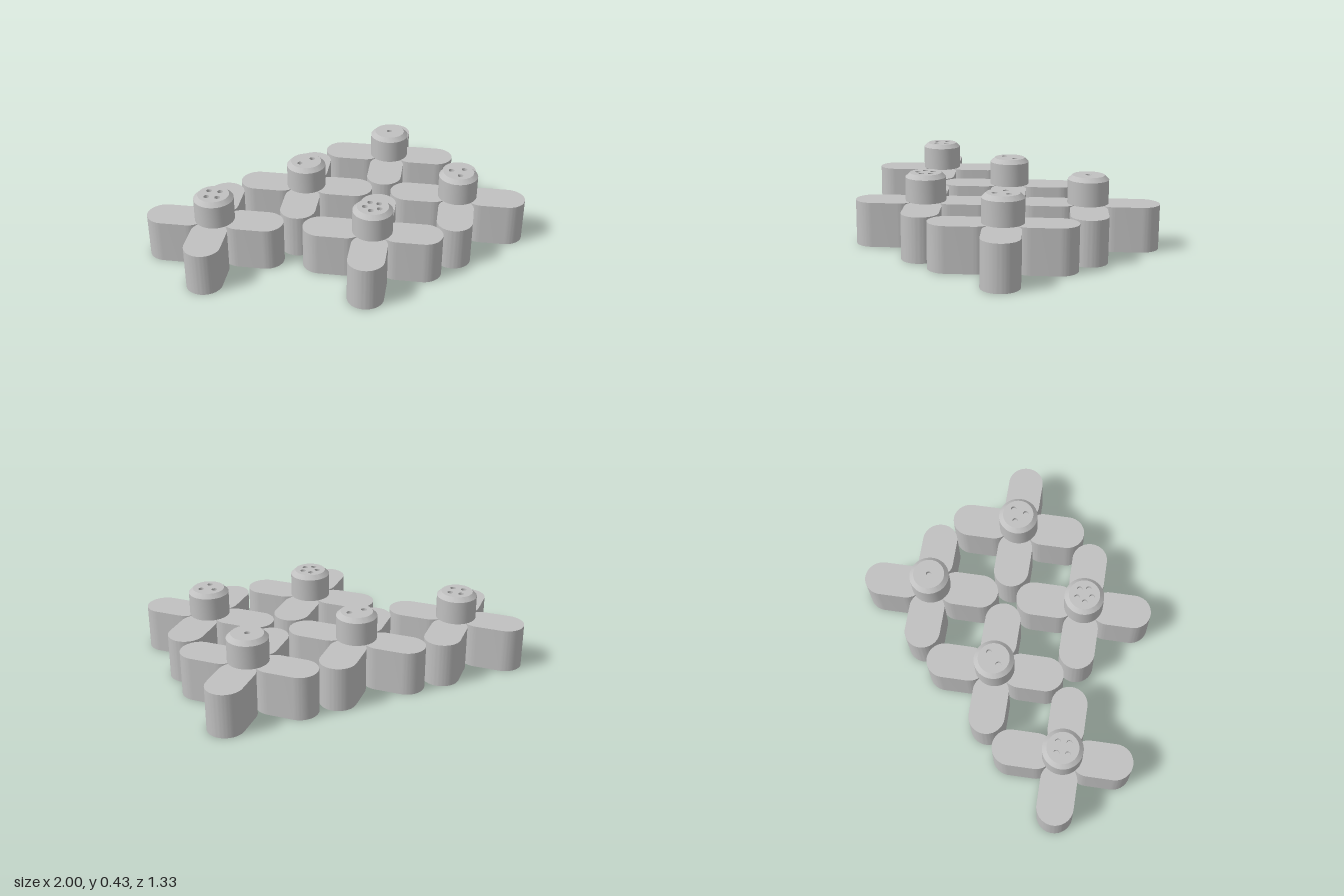
import * as THREE from 'three';
import { toCreasedNormals } from 'three/addons/utils/BufferGeometryUtils.js';

const PETAL_H = 0.267, PETAL_R = 0.108, PETAL_IN = 0.11, PETAL_OUT = 0.219;
const KNOB_R = 0.12, KNOB_TOP_R = 0.094, SHOULDER = 0.408, TOP = 0.433;
const PIT_R = 0.017, PIT_RING = 0.047, PIT_DEPTH = 0.02;
const CREASE = 0.5;

const lathe = (pts, segments) => toCreasedNormals(
  new THREE.LatheGeometry(pts.map(([r, y]) => new THREE.Vector2(r, y)), segments), CREASE);

// Capsule outline running out along +x from the token's centre
function petalGeometry() {
  const a = PETAL_IN * Math.SQRT2, b = PETAL_OUT * Math.SQRT2;
  const shape = new THREE.Shape();
  shape.absarc(b, 0, PETAL_R, -Math.PI / 2, Math.PI / 2, false);
  shape.absarc(a, 0, PETAL_R, Math.PI / 2, Math.PI * 1.5, false);
  shape.closePath();
  const geo = new THREE.ExtrudeGeometry(shape, { depth: PETAL_H, bevelEnabled: false, curveSegments: 24 });
  geo.rotateX(-Math.PI / 2);
  return toCreasedNormals(geo, CREASE);
}

// Pit centres: one in the middle, or several evenly round a ring
function pitCentres(count) {
  if (count === 1) return [[0, 0]];
  return Array.from({ length: count }, (_, i) => {
    const t = (i / count) * Math.PI * 2;
    return [Math.cos(t) * PIT_RING, Math.sin(t) * PIT_RING];
  });
}

export function createModel() {
  const model = new THREE.Group();
  model.name = 'countingTokens';
  const grey = new THREE.MeshStandardMaterial({ color: 0xc0c0c0 });
  grey.name = 'plain grey';

  const petalGeo = petalGeometry();
  const coreGeo = new THREE.CylinderGeometry(0.065, 0.065, PETAL_H, 32);
  const knobGeo = lathe([[0, PETAL_H], [KNOB_R, PETAL_H], [KNOB_R, SHOULDER], [KNOB_TOP_R, TOP]], 64);
  const pitGeo = lathe([[PIT_R, TOP], [PIT_R, TOP - PIT_DEPTH], [0, TOP - PIT_DEPTH]], 24);

  const add = (parent, geo, name) => {
    const mesh = new THREE.Mesh(geo, grey);
    mesh.name = name;
    parent.add(mesh);
    return mesh;
  };

  function token(count, x, z) {
    const group = new THREE.Group();
    group.name = 'token' + count;
    group.position.set(x, 0, z);

    // Four diagonal petals joined by a small core
    for (let i = 0; i < 4; i++) {
      add(group, petalGeo, 'petal').rotation.y = Math.PI / 4 + i * Math.PI / 2;
    }
    add(group, coreGeo, 'core').position.y = PETAL_H / 2;

    // Chamfered knob with a pierced top and round pits
    add(group, knobGeo, 'knob');
    const face = new THREE.Shape();
    face.absarc(0, 0, KNOB_TOP_R, 0, Math.PI * 2, false);
    for (const [px, pz] of pitCentres(count)) {
      const hole = new THREE.Path();
      hole.absarc(px, -pz, PIT_R, 0, Math.PI * 2, true);
      face.holes.push(hole);
      add(group, pitGeo, 'pit').position.set(px, 0, pz);
    }
    const top = new THREE.ShapeGeometry(face, 32);
    top.rotateX(-Math.PI / 2);
    add(group, top, 'knobTop').position.y = TOP;
    model.add(group);
  }

  token(1, 0.673, -0.337);
  token(2, 0, -0.337);
  token(4, -0.673, -0.337);
  token(3, 0.673, 0.337);
  token(5, 0, 0.337);
  return model;
}
